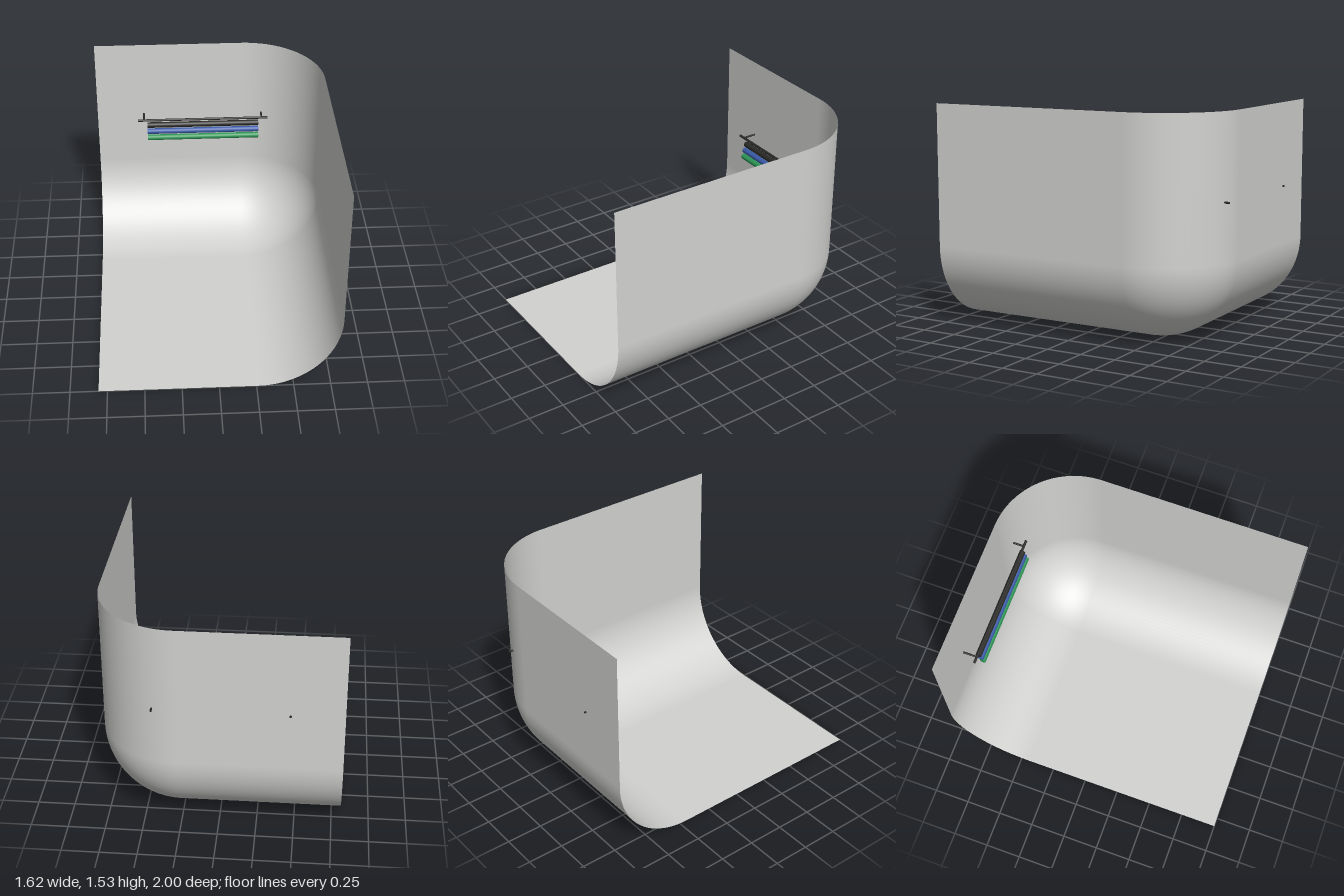
import * as THREE from 'three';

const mat = (name, color, side = THREE.FrontSide) => {
  const m = new THREE.MeshStandardMaterial({ color, side });
  m.name = name;
  return m;
};

// Half width, back wall, front edge, height and cove radius
const W = 0.81, BACK = -0.99, FRONT = 1, H = 1.53, R = 0.55;
const CX = W - R, CZ = BACK + R;

// Sweeps the cove-and-wall profile along the back, round the corner and along the side
function sweptWall() {
  const path = [{ x: -W, z: CZ, a: 0 }];
  const turns = 32, steps = 32;
  for (let i = 0; i <= turns; i++) path.push({ x: CX, z: CZ, a: (i / turns) * Math.PI / 2 });
  path.push({ x: CX, z: FRONT, a: Math.PI / 2 });

  const profile = [];
  for (let j = 0; j <= steps; j++) {
    const b = (j / steps) * Math.PI / 2;
    profile.push({ d: R * Math.sin(b), y: R * (1 - Math.cos(b)), b });
  }
  profile.push({ d: R, y: H, b: Math.PI / 2 });

  const pos = [], nor = [], idx = [], n = profile.length;
  path.forEach((p, i) => {
    const ox = Math.sin(p.a), oz = -Math.cos(p.a);
    profile.forEach((q, j) => {
      pos.push(p.x + ox * q.d, q.y, p.z + oz * q.d);
      nor.push(-ox * Math.sin(q.b), Math.cos(q.b), -oz * Math.sin(q.b));
      if (i && j) {
        const a = (i - 1) * n + j - 1, c = i * n + j - 1;
        idx.push(a, c, c + 1, a, c + 1, a + 1);
      }
    });
  });
  const g = new THREE.BufferGeometry();
  g.setAttribute('position', new THREE.Float32BufferAttribute(pos, 3));
  g.setAttribute('normal', new THREE.Float32BufferAttribute(nor, 3));
  g.setIndex(idx);
  return g;
}

export function createModel() {
  const model = new THREE.Group();
  model.name = 'studioCove';
  const backdrop = mat('backdropGrey', 0xd2d2d0, THREE.DoubleSide);
  const black = mat('black', 0x2a2a28);
  const blue = mat('blue', 0x3a5ba8);
  const green = mat('green', 0x2c9655);

  const add = (name, geometry, material, x = 0, y = 0, z = 0) => {
    const mesh = new THREE.Mesh(geometry, material);
    mesh.name = name;
    mesh.position.set(x, y, z);
    model.add(mesh);
    return mesh;
  };

  // Seamless backdrop
  add('coveWall', sweptWall(), backdrop);
  const floor = new THREE.PlaneGeometry(CX + W, FRONT - CZ).rotateX(-Math.PI / 2);
  add('floor', floor, backdrop, (CX - W) / 2, 0, (FRONT + CZ) / 2);

  // Rolls hanging one below another
  const rod = (r, len) => new THREE.CylinderGeometry(r, r, len, 20).rotateZ(Math.PI / 2);
  [['blackRoll', black, 0.907, -0.893], ['blueRoll', blue, 0.86, -0.882], ['greenRoll', green, 0.812, -0.872]]
    .forEach(([name, m, y, z]) => add(name, rod(0.021, 0.83), m, -0.025, y, z));

  // Rail and its wall pins
  add('rail', rod(0.009, 0.97), black, -0.025, 0.95, -0.89);
  for (const x of [-0.465, 0.415]) {
    const pin = new THREE.CylinderGeometry(0.007, 0.007, 0.11, 12).rotateX(Math.PI / 2);
    add('wallPin', pin, black, x, 0.95, -0.945);
  }
  return model;
}
